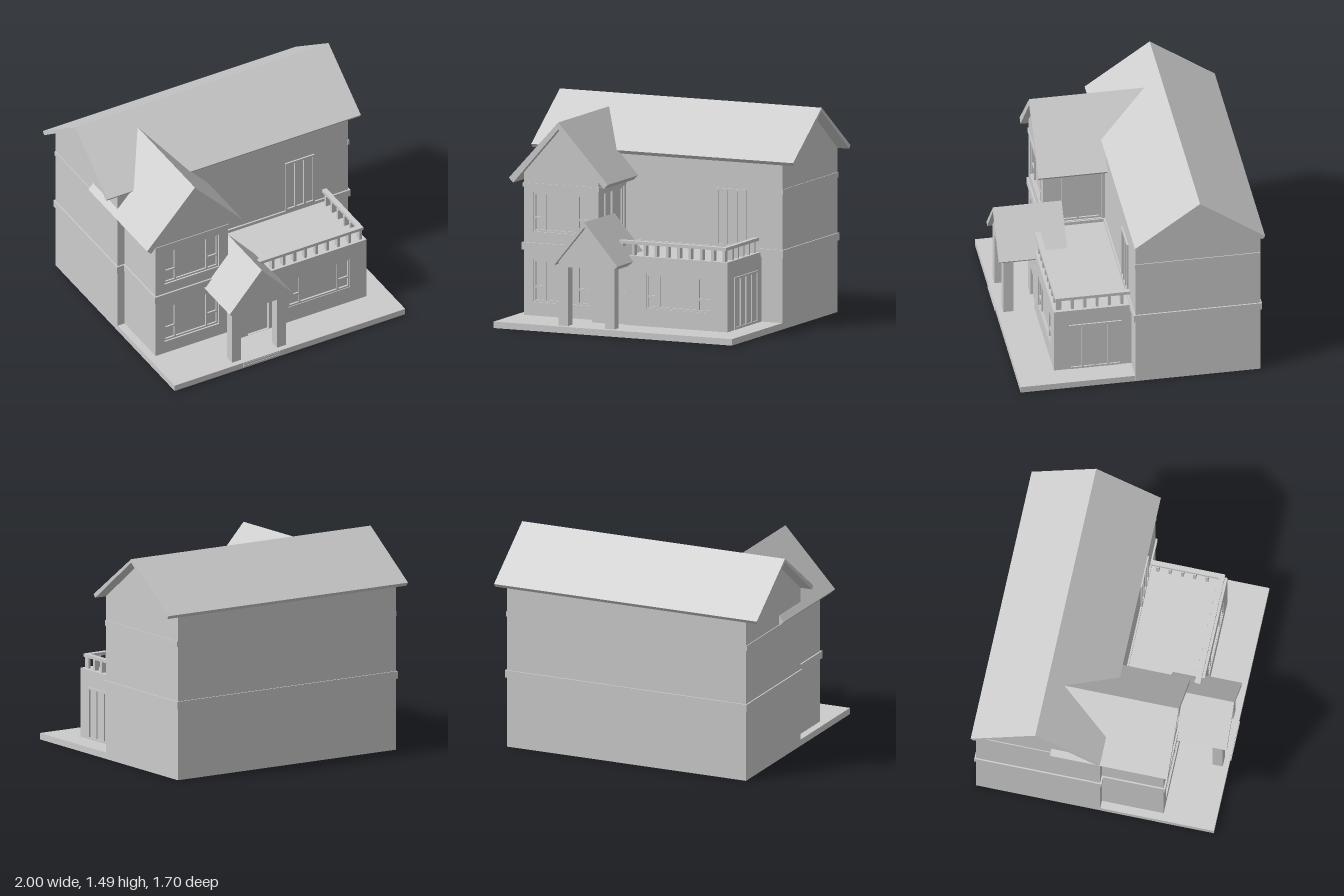
import * as THREE from 'three';

const mat = new THREE.MeshStandardMaterial({ color: 0xcccccc, side: THREE.DoubleSide });

function add(parent, name, geo) {
  const m = new THREE.Mesh(geo, mat);
  m.name = name;
  parent.add(m);
  return m;
}

// Box given by its limits on each axis
function box(parent, name, x0, x1, y0, y1, z0, z1) {
  const g = new THREE.BoxGeometry(x1 - x0, y1 - y0, z1 - z0);
  g.translate((x0 + x1) / 2, (y0 + y1) / 2, (z0 + z1) / 2);
  return add(parent, name, g);
}

// Flat outline with rectangular holes [x0, x1, y0, y1], extruded along +z
function slab(pts, depth, holes = []) {
  const s = new THREE.Shape(pts.map(p => new THREE.Vector2(p[0], p[1])));
  for (const [a, b, c, d] of holes) {
    s.holes.push(new THREE.Path([[a, c], [a, d], [b, d], [b, c]].map(p => new THREE.Vector2(...p))));
  }
  return new THREE.ExtrudeGeometry(s, { depth, bevelEnabled: false });
}

// Removes the faces lying on the lowest level, leaving an open shell
function openBottom(geo) {
  const g = geo.index ? geo.toNonIndexed() : geo;
  g.computeBoundingBox();
  const y0 = g.boundingBox.min.y, p = g.attributes.position, keep = [];
  for (let i = 0; i < p.count; i += 3) {
    const low = [0, 1, 2].every(k => p.getY(i + k) < y0 + 1e-5);
    if (!low) for (let k = 0; k < 3; k++) keep.push(p.getX(i + k), p.getY(i + k), p.getZ(i + k));
  }
  const out = new THREE.BufferGeometry();
  out.setAttribute('position', new THREE.Float32BufferAttribute(keep, 3));
  out.computeVertexNormals();
  return out;
}

// Rectangular ring of four bars around a wall line
function ring(parent, name, x0, x1, y0, y1, z0, z1, t) {
  const g = new THREE.Group();
  g.name = name;
  box(g, name + 'Front', x0, x1, y0, y1, z1 - t, z1);
  box(g, name + 'Back', x0, x1, y0, y1, z0, z0 + t);
  box(g, name + 'Right', x0, x0 + t, y0, y1, z0 + t, z1 - t);
  box(g, name + 'Left', x1 - t, x1, y0, y1, z0 + t, z1 - t);
  parent.add(g);
}

// House-end outline: straight sides, pointed top
const gable = (c, w, y0, eave, peak) => [[c - w, y0], [c + w, y0], [c + w, eave], [c, peak], [c - w, eave]];

// Two-sided roof with square-cut eaves
function roof(c, peak, [ow, oy], [iw, iy], inner, depth) {
  return slab([[c, peak], [c - ow, oy], [c - iw, iy], [c, inner], [c + iw, iy], [c + ow, oy]], depth);
}

// Glazed unit: pane, outer frame, mullions at fractions xs, optional cross bars in the end panes
function glazing(parent, name, x0, x1, y0, y1, xs, cross) {
  const g = new THREE.Group(), t = 0.014, d = 0.014;
  g.name = name;
  box(g, 'pane', x0, x1, y0, y1, -0.004, 0.002);
  box(g, 'topFrame', x0, x1, y1 - t, y1, 0, d);
  box(g, 'bottomFrame', x0, x1, y0, y0 + t, 0, d);
  const w = x1 - x0;
  for (const f of [0, ...xs, 1]) {
    const x = x0 + t / 2 + f * (w - t);
    box(g, 'mullion', x - t / 2, x + t / 2, y0 + t, y1 - t, 0, d);
  }
  if (cross) {
    const y = y0 + (y1 - y0) * 0.36;
    box(g, 'crossBar', x0 + t, x0 + w * xs[0], y - t / 2, y + t / 2, 0, d);
    box(g, 'crossBar', x0 + w * xs[1], x1 - t, y - t / 2, y + t / 2, 0, d);
  }
  parent.add(g);
  return g;
}

export function createModel() {
  const house = new THREE.Group();
  house.name = 'house';
  const SIDE = Math.PI / 2;

  // Main body and roof, extruded along x
  const body = openBottom(slab(gable(0.393, 0.437, 0, 1.15, 1.465), 1.82));
  body.rotateY(SIDE).translate(-0.91, 0, 0);
  add(house, 'mainBody', body);
  const mainRoof = roof(0.393, 1.49, [0.455, 1.167], [0.437, 1.143], 1.465, 2);
  mainRoof.rotateY(SIDE).translate(-1, 0, 0);
  add(house, 'mainRoof', mainRoof);

  // Trim bands on the main body
  ring(house, 'belt', -0.92, 0.92, 0.5, 0.553, -0.84, 0.056, 0.025);
  for (const s of [-1, 1]) {
    const b = box(house, 'upperBand', -0.006, 0.006, 0.938, 0.975, -0.83, 0.048);
    b.position.x = s * 0.91;
  }

  // Ground slab, hollow underneath, with the step in front
  const ground = new THREE.BoxGeometry(1.82, 0.045, 0.8);
  ground.translate(0, 0.0225, 0.445);
  add(house, 'groundSlab', openBottom(ground));
  box(house, 'lowerStep', -0.37, -0.08, 0.008, 0.022, 0.82, 0.851);
  box(house, 'upperStep', -0.37, -0.08, 0.022, 0.038, 0.82, 0.848);

  // Two-storey wing: core, front wall and inner side wall with openings
  const core = openBottom(slab(gable(-0.57, 0.255, 0.045, 1.08, 1.36), 0.43));
  core.translate(0, 0, 0.02);
  add(house, 'wingCore', core);
  const winX = [-0.785, -0.355], lowY = [0.14, 0.435], highY = [0.63, 0.905];
  const front = slab(gable(-0.57, 0.285, 0.045, 1.045, 1.36), 0.03, [[...winX, ...lowY], [...winX, ...highY]]);
  front.translate(0, 0, 0.45);
  add(house, 'wingFrontWall', front);
  const inner = slab([[-0.45, 0.045], [-0.02, 0.045], [-0.02, 1.045], [-0.45, 1.045]], 0.03,
    [[-0.449, -0.07, 0.556, 0.925]]);
  inner.rotateY(SIDE).translate(-0.315, 0, 0);
  add(house, 'wingInnerWall', inner);
  box(house, 'wingOuterWall', -0.855, -0.825, 0.045, 1.045, 0.02, 0.45);
  ring(house, 'wingFooting', -0.855, -0.285, 0.015, 0.045, 0.05, 0.48, 0.025);
  ring(house, 'wingBelt', -0.866, -0.274, 0.5, 0.553, 0.04, 0.492, 0.025);
  box(house, 'wingUpperBand', -0.861, -0.279, 0.938, 0.968, 0.04, 0.486);

  for (const y of [lowY, highY]) {
    glazing(house, 'wingWindow', ...winX, ...y, [0.2, 0.8], true).position.z = 0.455;
  }
  const wingDoor = glazing(house, 'balconyDoor', -0.449, -0.07, 0.556, 0.925, [0.28, 0.58], false);
  wingDoor.rotation.y = SIDE;
  wingDoor.position.x = -0.31;

  const wingRoof = roof(-0.57, 1.41, [0.378, 1.0], [0.345, 0.968], 1.36, 0.825);
  wingRoof.translate(0, 0, -0.3);
  add(house, 'wingRoof', wingRoof);

  // Single-storey block under the balcony
  box(house, 'blockCore', -0.284, 0.75, 0.045, 0.53, 0.03, 0.56);
  const doorHole = [-0.185, -0.02, 0.046, 0.28], blockWin = [0.13, 0.62, 0.17, 0.412];
  const blockFront = slab([[-0.284, 0.045], [0.75, 0.045], [0.75, 0.53], [-0.284, 0.53]], 0.025, [doorHole, blockWin]);
  blockFront.translate(0, 0, 0.56);
  add(house, 'blockFrontWall', blockFront);
  glazing(house, 'blockWindow', ...blockWin, [0.185, 0.815], true).position.z = 0.566;
  box(house, 'frontDoor', -0.18, -0.025, 0.046, 0.275, 0.55, 0.568);
  const sideDoor = glazing(house, 'sideDoor', -0.48, -0.11, 0.05, 0.412, [0.25, 0.5, 0.75], false);
  sideDoor.rotation.y = SIDE;
  sideDoor.position.x = 0.746;
  glazing(house, 'upperDoor', 0.41, 0.64, 0.553, 0.955, [0.33, 0.67], false).position.z = 0.042;

  // Balcony railing: L-shaped hand rail on small balusters
  const rail = new THREE.Group();
  rail.name = 'balconyRailing';
  house.add(rail);
  box(rail, 'frontRail', -0.085, 0.735, 0.608, 0.63, 0.533, 0.572);
  box(rail, 'sideRail', 0.7, 0.735, 0.608, 0.63, 0.05, 0.533);
  for (let i = 0; i < 10; i++) {
    const x = 0.715 - i * 0.0865;
    box(rail, 'baluster', x - 0.01, x + 0.01, 0.53, 0.608, 0.527, 0.567);
  }
  for (let i = 0; i < 5; i++) {
    const z = 0.105 + i * 0.0865;
    box(rail, 'baluster', 0.693, 0.73, 0.53, 0.608, z - 0.01, z + 0.01);
  }

  // Entrance porch
  const porch = new THREE.Group();
  porch.name = 'porch';
  house.add(porch);
  for (const x of [-0.435, -0.08]) box(porch, 'column', x, x + 0.073, 0.045, 0.47, 0.735, 0.805);
  const porchGable = slab(gable(-0.22, 0.214, 0.455, 0.497, 0.745), 0.24);
  porchGable.translate(0, 0, 0.565);
  add(porch, 'porchGable', porchGable);
  const porchRoof = roof(-0.22, 0.78, [0.253, 0.49], [0.23, 0.468], 0.745, 0.48);
  porchRoof.translate(0, 0, 0.36);
  add(porch, 'porchRoof', porchRoof);

  return house;
}
